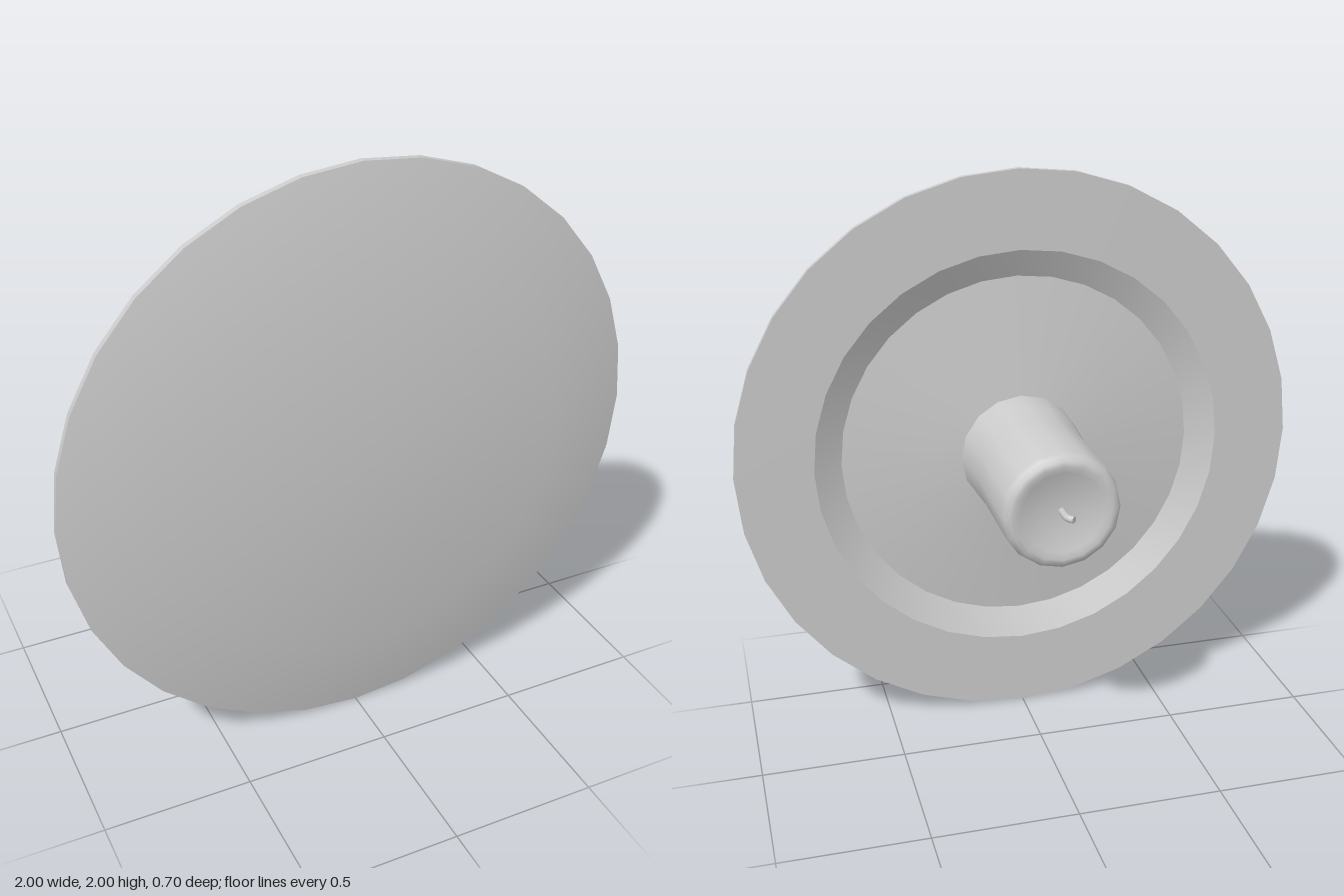
import * as THREE from 'three';
import { toCreasedNormals } from 'three/addons/utils/BufferGeometryUtils.js';

const material = new THREE.MeshStandardMaterial({ color: 0xcccccc });

// Turns a [radius, height] profile about the candle axis
function turned(name, profile, sides, crease) {
  const points = profile.map(([r, h]) => new THREE.Vector2(r, h));
  const geometry = toCreasedNormals(new THREE.LatheGeometry(points, sides), crease);
  const mesh = new THREE.Mesh(geometry, material);
  mesh.name = name;
  return mesh;
}

export function createModel() {
  const model = new THREE.Group();
  model.name = 'candleOnPlate';

  // Everything is built upright, then tipped so the candle points to -z
  const upright = new THREE.Group();
  upright.name = 'candleAndPlate';
  upright.rotation.x = -Math.PI / 2;
  upright.position.y = 1;
  model.add(upright);

  // Plate: flat base, flared underside, thin rim, sunken floor rising to the candle
  upright.add(turned('plate', [
    [0, -0.345], [0.7, -0.345], [1, -0.28], [1, -0.258],
    [0.73, -0.258], [0.63, -0.31], [0.2, -0.262],
  ], 32, 0.4));

  // Candle: flared foot, rounded shoulder, shallow melted hollow
  upright.add(turned('candle', [
    [0.215, -0.265], [0.208, -0.16], [0.2, -0.05], [0.2, 0.25], [0.194, 0.274],
    [0.18, 0.288], [0.163, 0.291], [0.14, 0.283], [0.08, 0.268], [0, 0.263],
  ], 16, 1));

  // Wick: short bent tube with a closed tip
  const curve = new THREE.CatmullRomCurve3([
    new THREE.Vector3(0, 0.25, 0), new THREE.Vector3(0, 0.305, 0),
    new THREE.Vector3(-0.004, 0.328, 0), new THREE.Vector3(-0.018, 0.343, 0),
  ]);
  const wick = new THREE.Mesh(new THREE.TubeGeometry(curve, 8, 0.012, 8), material);
  wick.name = 'wick';
  upright.add(wick);

  const tip = new THREE.Mesh(new THREE.CircleGeometry(0.012, 8), material);
  tip.name = 'wickTip';
  tip.position.copy(curve.getPoint(1));
  tip.quaternion.setFromUnitVectors(new THREE.Vector3(0, 0, 1), curve.getTangent(1));
  upright.add(tip);

  return model;
}
